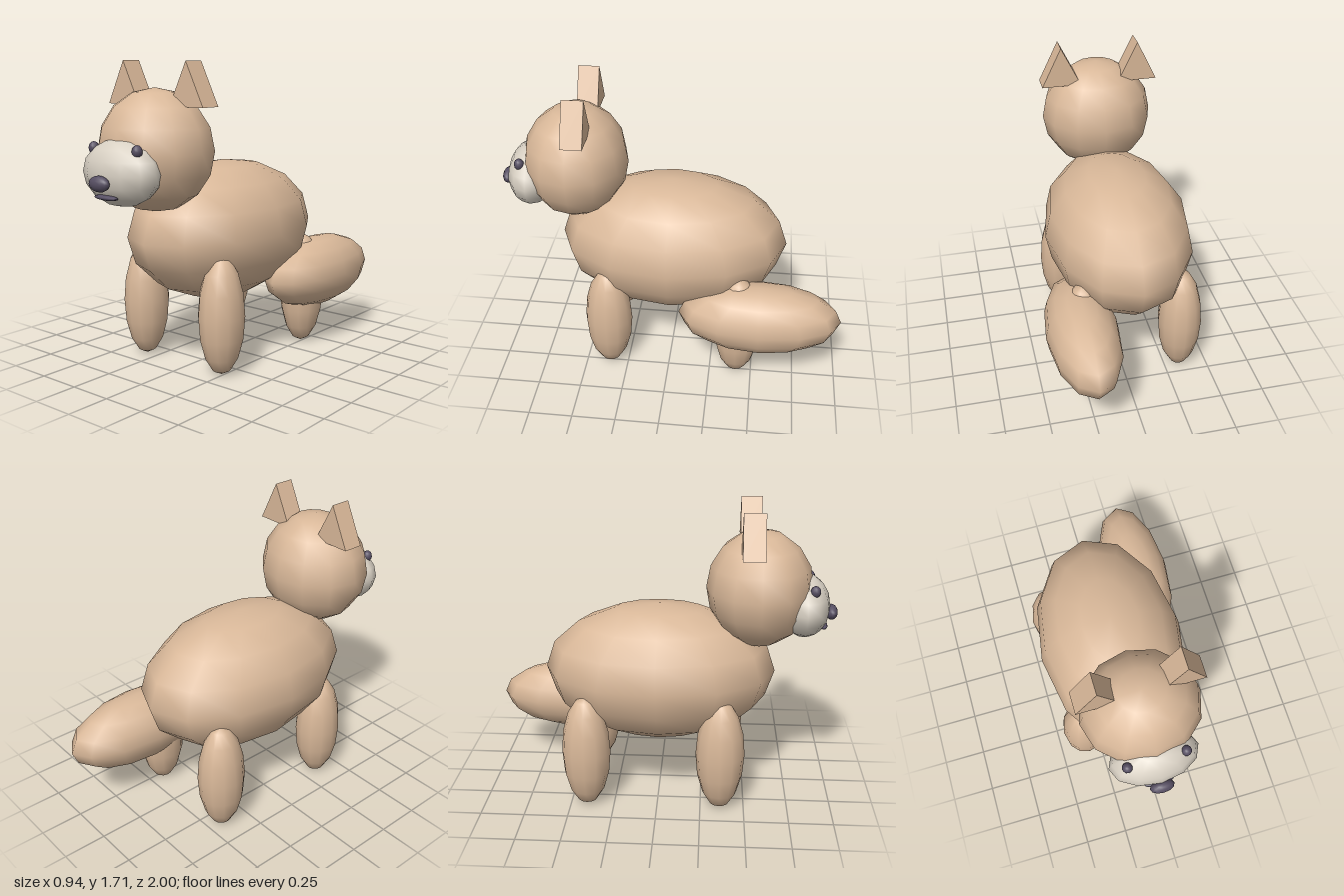
import * as THREE from 'three';

const flat = (name, color) => {
  const m = new THREE.MeshStandardMaterial({ color });
  m.name = name;
  return m;
};

export function createModel() {
  const fur = flat('tan fur', 0xd9b899);
  const cream = flat('cream muzzle', 0xd8d0c3);
  const dark = flat('dark features', 0x564e62);

  const dog = new THREE.Group();
  dog.name = 'dog';
  const midX = -0.05; // body axis; the tail sits off to the left

  const ball = new THREE.SphereGeometry(1, 12, 8);
  const ellipsoid = (name, material, centre, radii) => {
    const mesh = new THREE.Mesh(ball, material);
    mesh.name = name;
    mesh.position.set(...centre);
    mesh.scale.set(...radii);
    dog.add(mesh);
  };

  // Body, head and tail
  ellipsoid('body', fur, [midX, 0.74, 0], [0.425, 0.4, 0.665]);
  ellipsoid('head', fur, [midX, 1.24, 0.56], [0.33, 0.33, 0.3]);
  ellipsoid('tail', fur, [0.265, 0.43, -0.53], [0.205, 0.21, 0.47]);

  // Face
  ellipsoid('muzzle', cream, [midX, 1.145, 0.81], [0.245, 0.175, 0.145]);
  ellipsoid('nose', dark, [midX, 1.105, 0.965], [0.067, 0.042, 0.035]);
  ellipsoid('mouth', dark, [midX, 1.03, 0.92], [0.085, 0.014, 0.027]);

  // Triangular prism for the ears
  const triangle = new THREE.Shape([
    new THREE.Vector2(-0.115, 0),
    new THREE.Vector2(0.115, 0),
    new THREE.Vector2(0, 0.233),
  ]);
  const earGeometry = new THREE.ExtrudeGeometry(triangle, { depth: 0.12, bevelEnabled: false });

  // Mirrored pairs
  for (const [side, s] of [['left', 1], ['right', -1]]) {
    ellipsoid(side + 'Eye', dark, [midX + s * 0.157, 1.267, 0.852], [0.028, 0.033, 0.028]);
    ellipsoid(side + 'FrontLeg', fur, [midX + s * 0.285, 0.336, 0.358], [0.127, 0.336, 0.139]);
    ellipsoid(side + 'BackLeg', fur, [midX + s * 0.285, 0.336, -0.405], [0.127, 0.336, 0.139]);

    const ear = new THREE.Mesh(earGeometry, fur);
    ear.name = side + 'Ear';
    ear.position.set(midX + s * 0.226, 1.475, 0.448);
    dog.add(ear);
  }
  return dog;
}
